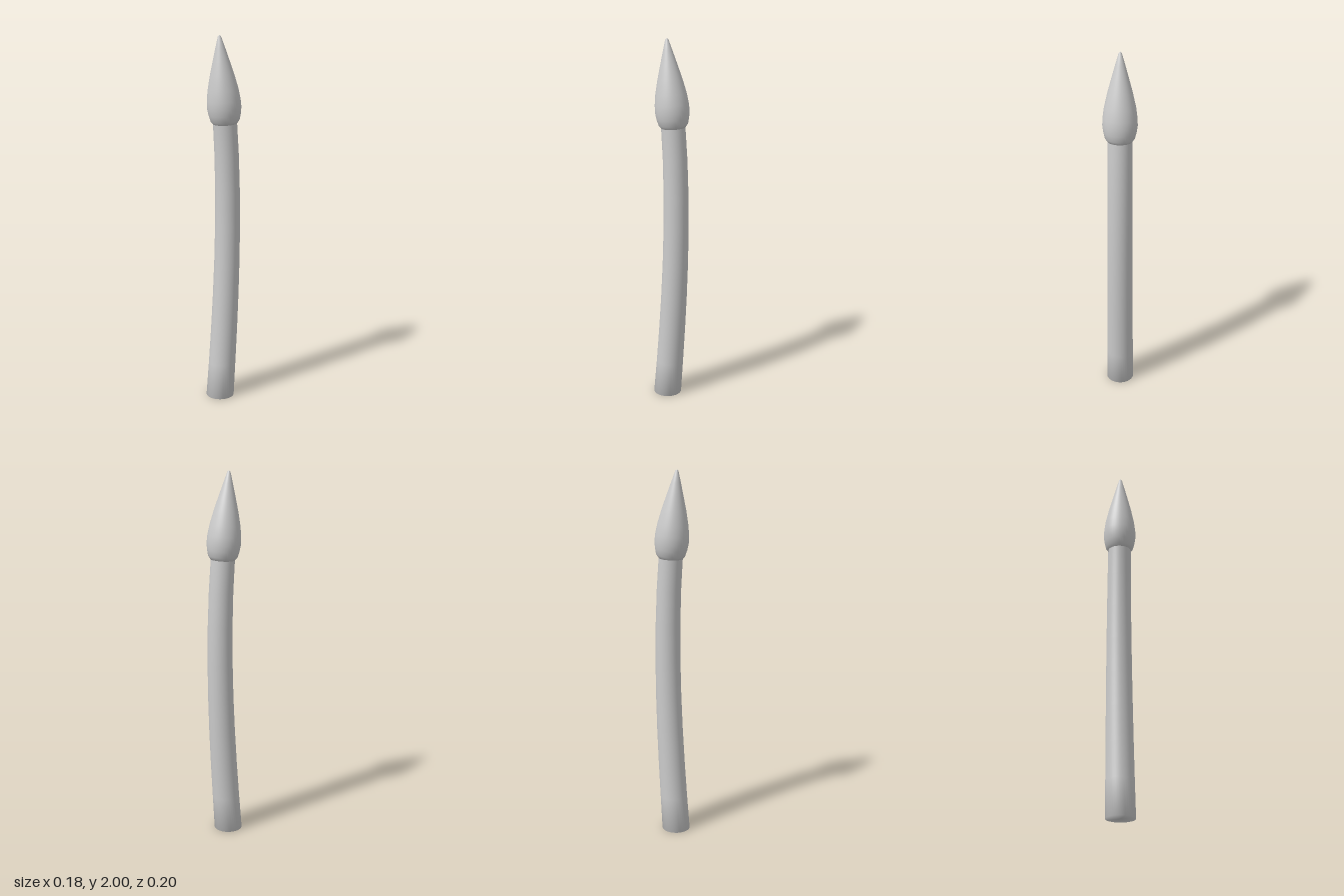
import * as THREE from 'three';

const material = new THREE.MeshStandardMaterial({ color: 0xcccccc });
const SEGMENTS = 40;

// Surface of revolution from [radius, height] pairs.
function turned(name, profile) {
  const points = profile.map(([r, y]) => new THREE.Vector2(r, y));
  const mesh = new THREE.Mesh(new THREE.LatheGeometry(points, SEGMENTS), material);
  mesh.name = name;
  return mesh;
}

// Centre line of the bowed shaft: z offset and its slope at a height.
const bow = (y) => 0.024 - 0.0774 * y + 0.0066 * y * y + 0.01885 * y ** 3;
const bowSlope = (y) => -0.0774 + 0.0132 * y + 0.05655 * y * y;

function bend(geometry) {
  const { position, normal } = geometry.attributes;
  const n = new THREE.Vector3();
  for (let i = 0; i < position.count; i++) {
    const y = position.getY(i);
    position.setZ(i, position.getZ(i) + bow(y));
    n.fromBufferAttribute(normal, i);
    n.y -= bowSlope(y) * n.z;
    n.normalize();
    normal.setXYZ(i, n.x, n.y, n.z);
  }
}

export function createModel() {
  const group = new THREE.Group();
  group.name = 'spearPost';

  // Slightly tapering, bowed shaft with a closed foot
  const profile = [[0, 0], [0.077, 0]];
  for (let i = 1; i <= 8; i++) {
    const y = (i / 8) * 1.57;
    profile.push([0.077 - 0.0135 * Math.pow(y / 1.57, 0.8), y]);
  }
  const shaft = turned('shaft', profile);
  bend(shaft.geometry);
  group.add(shaft);

  // Pointed head, leaning forward along the end of the shaft
  const head = turned('pointedHead', [
    [0.05, 0], [0.063, 0], [0.077, 0.018], [0.085, 0.05], [0.09, 0.085], [0.0885, 0.125],
    [0.081, 0.18], [0.064, 0.255], [0.045, 0.325], [0.025, 0.397], [0.008, 0.455], [0, 0.462],
  ]);
  head.position.set(0, 1.54, -0.012);
  head.rotation.x = 0.085;
  group.add(head);

  return group;
}
